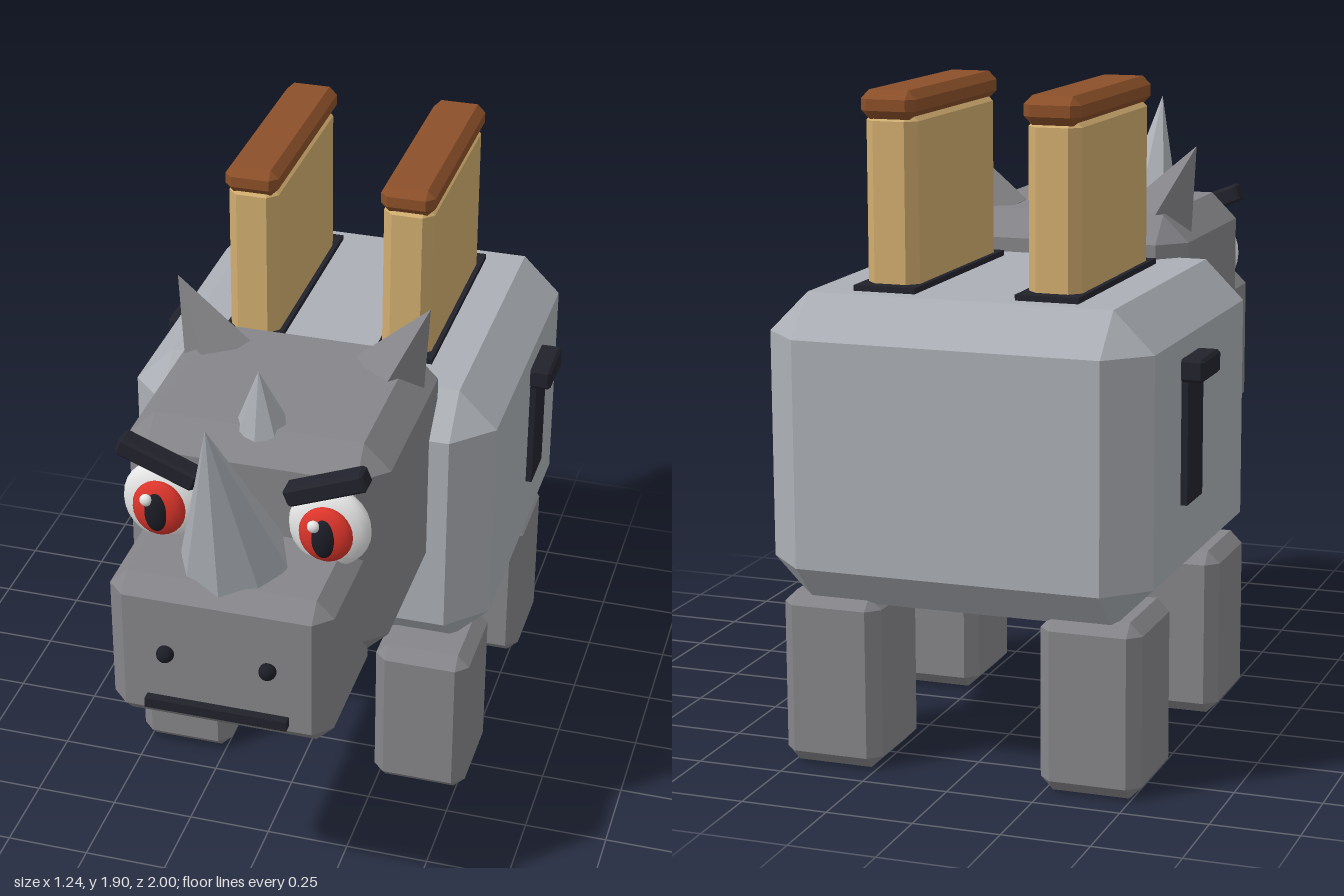
import * as THREE from 'three';
import { ConvexGeometry } from 'three/addons/geometries/ConvexGeometry.js';

const mat = (name, color, flatShading = true) => {
  const m = new THREE.MeshStandardMaterial({ color, flatShading });
  m.name = name;
  return m;
};

// Box with every edge bevelled and a triangle on each corner
function bevelBox(w, h, d, b) {
  const pts = [];
  for (const sx of [-1, 1]) for (const sy of [-1, 1]) for (const sz of [-1, 1]) {
    const x = w / 2, y = h / 2, z = d / 2;
    pts.push(
      new THREE.Vector3(sx * x, sy * (y - b), sz * (z - b)),
      new THREE.Vector3(sx * (x - b), sy * y, sz * (z - b)),
      new THREE.Vector3(sx * (x - b), sy * (y - b), sz * z));
  }
  return new ConvexGeometry(pts);
}

export function createModel() {
  const model = new THREE.Group();
  model.name = 'toasterRhino';

  const lightGrey = mat('light grey', 0xacb0b6);
  const darkGrey = mat('dark grey', 0x86868a);
  const bread = mat('bread', 0xd2ae70);
  const crustBrown = mat('crust brown', 0x8c5029);
  const black = mat('blue black', 0x22222c);
  const white = mat('eye white', 0xf0f0f0, false);
  const red = mat('iris red', 0xdc352b, false);
  const pupilBlack = mat('pupil black', 0x1c1c26, false);

  const add = (name, geometry, material, x, y, z) => {
    const mesh = new THREE.Mesh(geometry, material);
    mesh.name = name;
    mesh.position.set(x, y, z);
    model.add(mesh);
    return mesh;
  };
  // Bevelled box given by its extents on each axis
  const block = (name, material, [x0, x1], [y0, y1], [z0, z1], bevel) =>
    add(name, bevelBox(x1 - x0, y1 - y0, z1 - z0, bevel), material,
      (x0 + x1) / 2, (y0 + y1) / 2, (z0 + z1) / 2);
  // Ellipsoid
  const ball = (name, material, x, y, z, rx, ry, rz) =>
    add(name, new THREE.SphereGeometry(1, 20, 14), material, x, y, z).scale.set(rx, ry, rz);
  // Spike standing on the centre of its base
  const spike = (name, material, radius, height, sides, x, y, z) =>
    add(name, new THREE.ConeGeometry(radius, height, sides).translate(0, height / 2, 0), material, x, y, z);

  // Body, head and muzzle
  block('body', lightGrey, [-0.555, 0.555], [0.48, 1.352], [-1, 0.112], 0.115);
  block('head', darkGrey, [-0.38, 0.38], [0.772, 1.472], [-0.06, 0.625], 0.078);
  block('muzzle', darkGrey, [-0.32, 0.32], [0.712, 1.178], [0.5, 0.95], 0.05);

  // Horns
  spike('largeHorn', lightGrey, 0.153, 0.58, 8, 0, 1.186, 0.78).rotation.x = 0.39;
  spike('smallHorn', lightGrey, 0.075, 0.19, 8, 0, 1.458, 0.51).rotation.x = 0.16;

  // Mouth
  add('mouth', new THREE.BoxGeometry(0.41, 0.03, 0.04), black, 0, 0.795, 0.957);

  for (const s of [-1, 1]) {
    const side = s > 0 ? 'left' : 'right';
    const part = (name) => side + name;

    // Ears lean outwards
    spike(part('Ear'), darkGrey, 0.112, 0.26, 4, s * 0.26, 1.437, 0.112).rotation.z = -s * 0.46;

    // Eye, built in layers towards the front
    ball(part('Eyeball'), white, s * 0.24, 1.265, 0.665, 0.118, 0.125, 0.052);
    ball(part('Iris'), red, s * 0.24, 1.265, 0.708, 0.077, 0.085, 0.036);
    ball(part('Pupil'), pupilBlack, s * 0.24, 1.265, 0.733, 0.034, 0.06, 0.022);
    ball(part('EyeGlint'), white, s * 0.24 - 0.025, 1.307, 0.744, 0.018, 0.018, 0.014);

    // Slanted eyebrow
    const brow = add(part('Eyebrow'), bevelBox(0.24, 0.056, 0.066, 0.008), black, s * 0.24, 1.413, 0.697);
    brow.rotation.z = s * 0.377;

    // Nostril
    ball(part('Nostril'), pupilBlack, s * 0.147, 0.957, 0.955, 0.025, 0.025, 0.027);

    // Legs
    const legX = s > 0 ? [0.235, 0.527] : [-0.527, -0.235];
    block(part('FrontLeg'), darkGrey, legX, [0, 0.5], [-0.16, 0.16], 0.036);
    block(part('BackLeg'), darkGrey, legX, [0, 0.5], [-0.923, -0.602], 0.036);

    // Toast slice in its slot
    const x = s * 0.235;
    add(part('Slot'), new THREE.BoxGeometry(0.18, 0.03, 0.705), black, x, 1.353, -0.482);
    block(part('Toast'), bread, [x - 0.076, x + 0.076], [1.3, 1.845], [-0.79, -0.15], 0.03);
    block(part('Crust'), crustBrown, [x - 0.081, x + 0.081], [1.82, 1.9], [-0.808, -0.138], 0.024);

    // Side lever: track and knob
    add(part('LeverTrack'), new THREE.BoxGeometry(0.03, 0.38, 0.15), black, s * 0.559, 0.96, -0.56);
    add(part('LeverKnob'), bevelBox(0.07, 0.066, 0.175, 0.009), black, s * 0.585, 1.15, -0.558);
  }
  return model;
}
